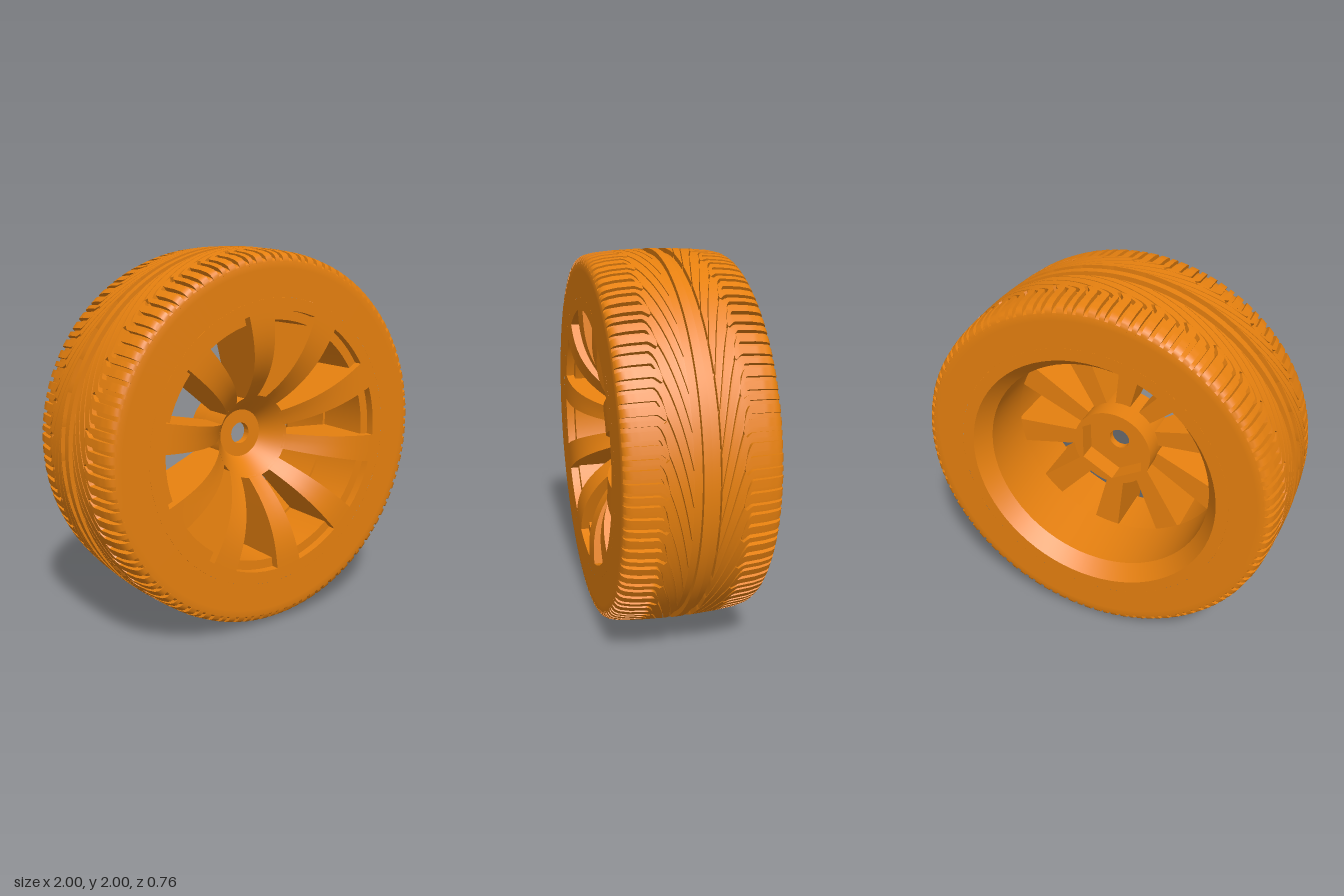
import * as THREE from 'three';
import { mergeGeometries, toCreasedNormals } from 'three/addons/utils/BufferGeometryUtils.js';

const TAU = Math.PI * 2, DEG = Math.PI / 180;
const clamp = THREE.MathUtils.clamp, lerp = THREE.MathUtils.lerp;
const material = new THREE.MeshStandardMaterial({ color: 0xe6800f });

function part(name, geometry) {
  const mesh = new THREE.Mesh(geometry, material);
  mesh.name = name;
  return mesh;
}

// Skin between rows of points
function loft(rows, flip) {
  const pos = [];
  const tri = (a, b, c) => (flip ? [a, c, b] : [a, b, c]).forEach(p => pos.push(...p));
  for (let i = 0; i < rows.length - 1; i++) {
    for (let j = 0; j < rows[i].length - 1; j++) {
      const a = rows[i][j], b = rows[i][j + 1], c = rows[i + 1][j + 1], d = rows[i + 1][j];
      tri(a, b, c);
      tri(a, c, d);
    }
  }
  const geo = new THREE.BufferGeometry();
  geo.setAttribute('position', new THREE.Float32BufferAttribute(pos, 3));
  return toCreasedNormals(geo, 0.6);
}

// Copies around the axle
function ring(geo, count, offset = 0) {
  const copies = [];
  for (let i = 0; i < count; i++) copies.push(geo.clone().rotateZ(offset + i * TAU / count));
  return mergeGeometries(copies);
}

// Turned part about the z axis from [radius, z] pairs
function turned(profile, segments) {
  const geo = new THREE.LatheGeometry(profile.map(p => new THREE.Vector2(...p)), segments);
  geo.rotateX(Math.PI / 2);
  geo.deleteAttribute('normal');
  geo.deleteAttribute('uv');
  return toCreasedNormals(geo, 0.5);
}

const polar = (r, a, z) => [r * Math.cos(a), r * Math.sin(a), z];

// Tyre section: [z, tread radius, groove floor radius]
const section = [
  [0.065, 0.999, 0.974], [0.2, 0.993, 0.968], [0.3, 0.984, 0.96],
  [0.35, 0.972, 0.951], [0.368, 0.961, 0.945], [0.377, 0.947, 0.937], [0.38, 0.925, 0.925],
];
function radiusAt(z, column) {
  let i = 0;
  while (i < section.length - 2 && z > section[i + 1][0]) i++;
  const a = section[i], b = section[i + 1];
  return lerp(a[column], b[column], clamp((z - a[0]) / (b[0] - a[0]), 0, 1));
}

// Tread pattern
const PITCHES = 36, PITCH = TAU / PITCHES, GROOVE = 0.011, TONGUE_END = 0.175;
const sweep = z => -0.5 * Math.pow(clamp((0.22 - z) / 0.155, 0, 1), 1.6);
const roundEnd = (z, start, length) => {
  const s = clamp((z - start) / length, 0, 1);
  return Math.sqrt(1 - (1 - s) * (1 - s));
};
const tongueHalf = z => 0.052 * roundEnd(z, TONGUE_END, 0.05);
const ribHalf = z => PITCH / 2 - GROOVE - tongueHalf(z) - GROOVE * roundEnd(z, TONGUE_END, 0.02);
const slotHalf = z => 0.012 * roundEnd(z, 0.205, 0.015);

// Raised tread block between two angle curves, from z = start to the shoulder
function treadBlock(start, lo, hi, side, across) {
  const zs = [start];
  const steps = 20;
  for (let i = 0; i <= steps; i++) zs.push(lerp(start, 0.335, Math.pow(i / steps, 1.3)));
  zs.push(0.35, 0.359, 0.368, 0.373, 0.377, 0.379, 0.38);
  const rows = zs.map((z, i) => {
    const floor = radiusAt(z, 2) - 0.002;
    const top = i === 0 ? floor : radiusAt(z, 1);
    const a = lo(z), b = hi(z);
    const row = [polar(floor, a, side * z)];
    for (let k = 0; k <= across; k++) row.push(polar(top, lerp(a, b, k / across), side * z));
    row.push(polar(floor, b, side * z));
    return row;
  });
  return loft(rows, side < 0);
}

function tread(side) {
  const offset = side > 0 ? 0 : PITCH / 2;
  const centre = z => sweep(z) + PITCH / 2;
  const group = new THREE.Group();
  group.name = side > 0 ? 'frontTread' : 'backTread';
  const rib = treadBlock(0.065, z => sweep(z) - ribHalf(z), z => sweep(z) + ribHalf(z), side, 4);
  const tongue = mergeGeometries([
    treadBlock(TONGUE_END, z => centre(z) - tongueHalf(z), z => centre(z) - slotHalf(z), side, 2),
    treadBlock(TONGUE_END, z => centre(z) + slotHalf(z), z => centre(z) + tongueHalf(z), side, 2),
  ]);
  group.add(part('sweptRibs', ring(rib, PITCHES, offset)));
  group.add(part('shoulderBlocks', ring(tongue, PITCHES, offset)));
  return group;
}

// Dished front surface of the wheel
const HUB_R = 0.13, DISH_R = 0.69, PLATE_BACK = 0.03;
const dish = r => 0.06 + 0.32 * (1 - Math.pow(clamp((DISH_R - r) / (DISH_R - HUB_R), 0, 1), 2.6));

// One deep spoke with straight edges and a dished front
function spoke() {
  const edge = (aIn, aOut, t) => {
    const p = polar(0.215, aIn * DEG, 0), q = polar(0.695, aOut * DEG, 0);
    return Math.atan2(lerp(p[1], q[1], t), lerp(p[0], q[0], t));
  };
  const rows = [];
  for (let i = 0; i <= 14; i++) {
    const t = i / 14, r = lerp(0.215, 0.695, t);
    const lo = edge(82.5, 91.7, t), hi = edge(105, 104.5, t);
    const row = [polar(r, lo, PLATE_BACK)];
    for (let k = 0; k <= 3; k++) row.push(polar(r, lerp(lo, hi, k / 3), dish(r)));
    row.push(polar(r, hi, PLATE_BACK), polar(r, lo, PLATE_BACK));
    rows.push(row);
  }
  return loft(rows, true);
}

export function createModel() {
  const wheel = new THREE.Group();
  wheel.name = 'wheel';

  // Tyre carcass with two centre grooves and a thin centre rib
  const tyre = new THREE.Group();
  tyre.name = 'tyre';
  const half = section.map(([z, , floor]) => [floor, z]);
  tyre.add(part('carcass', turned([
    [0.755, -0.38], [0.9, -0.38],
    ...half.map(([r, z]) => [r, -z]).reverse(),
    [0.974, -0.02], [1, -0.02], [1, 0.02], [0.974, 0.02],
    ...half, [0.9, 0.38], [0.755, 0.38],
  ], 120)));
  tyre.add(tread(1), tread(-1));

  // Rim barrel: flanges, window ledge and bevelled back lip
  const rim = new THREE.Group();
  rim.name = 'rim';
  rim.add(part('barrel', turned([
    [0.69, -0.38], [0.755, -0.38], [0.755, 0.38], [0.69, 0.38], [0.69, 0.335],
    [0.64, 0.335], [0.64, PLATE_BACK], [0.625, PLATE_BACK], [0.625, -0.29], [0.69, -0.38],
  ], 72)));
  rim.add(part('spokes', ring(spoke(), 10)));

  // Hub: flared front with axle hole
  const flare = [];
  for (let i = 0; i <= 6; i++) {
    const r = lerp(0.225, HUB_R, i / 6);
    flare.push([r, dish(r)]);
  }
  rim.add(part('hub', turned([
    [0.058, 0.02], [0.225, 0.02], ...flare, [0.058, 0.06], [0.058, 0.02],
  ], 60)));

  // Hexagonal drive socket at the back of the hub
  const socket = new THREE.Shape().absarc(0, 0, 0.225, 0, TAU, false);
  const hexagon = [];
  for (let i = 0; i < 6; i++) {
    const a = Math.PI / 6 - i * TAU / 6;
    hexagon.push(new THREE.Vector2(0.2 * Math.cos(a), 0.2 * Math.sin(a)));
  }
  socket.holes.push(new THREE.Path(hexagon));
  const socketGeo = new THREE.ExtrudeGeometry(socket, { depth: 0.11, bevelEnabled: false, curveSegments: 30 });
  socketGeo.translate(0, 0, -0.085);
  rim.add(part('hexSocket', toCreasedNormals(socketGeo, 0.5)));

  wheel.add(tyre, rim);
  wheel.position.y = 1;
  const model = new THREE.Group();
  model.name = 'wheelAndTyre';
  model.add(wheel);
  return model;
}
